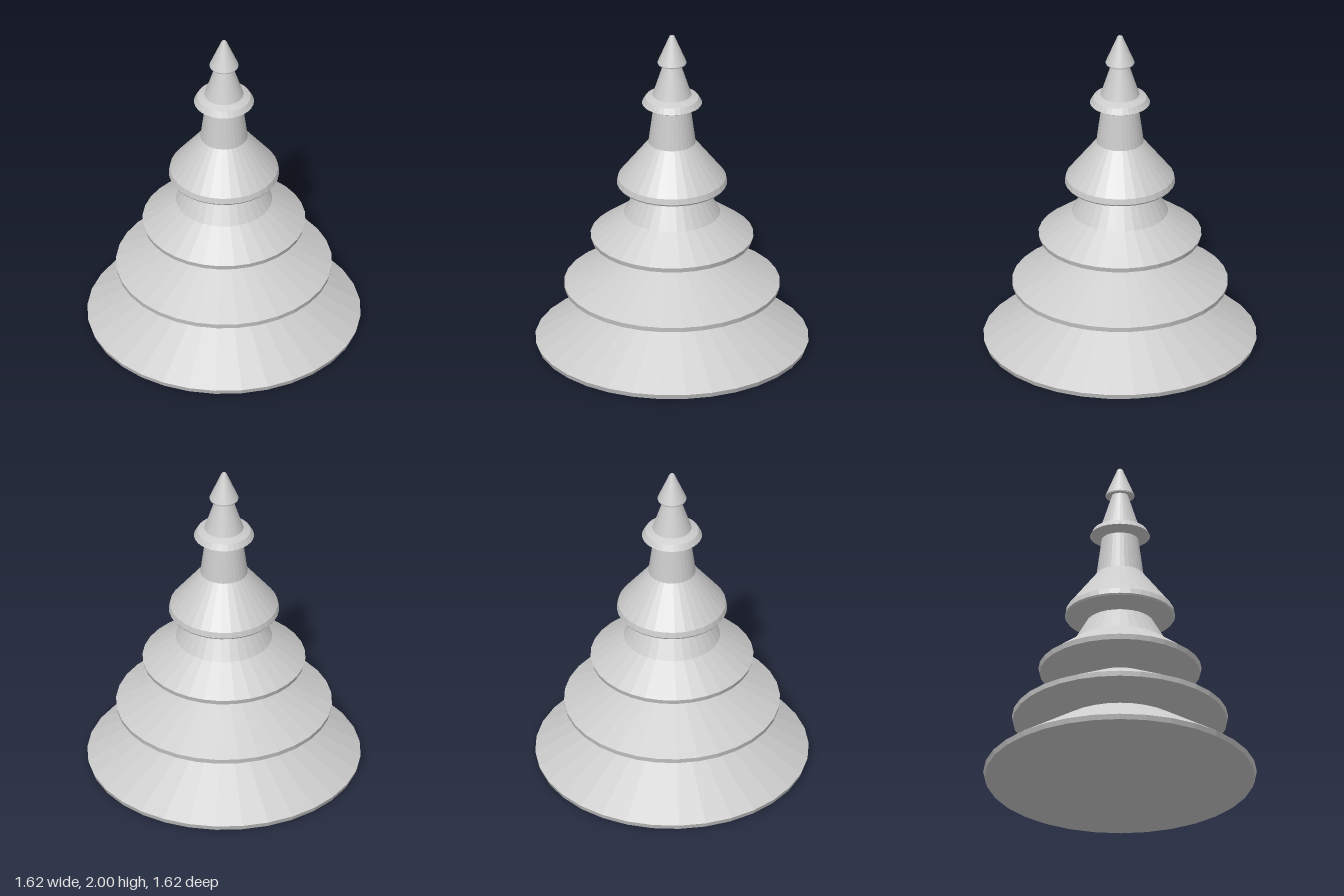
import * as THREE from 'three';

const SIDES = 32;

// Profiles as [radius, height], bottom to top; each part starts where the one below ends
const PARTS = {
  baseTier: [[0, 0], [0.8, 0], [0.81, 0.03], [0.385, 0.3]],
  secondTier: [[0.385, 0.3], [0.635, 0.36], [0.64, 0.39], [0.2, 0.617]],
  thirdTier: [[0.2, 0.617], [0.475, 0.675], [0.483, 0.705], [0.285, 0.85], [0.2, 0.997]],
  topTier: [[0.2, 0.997], [0.32, 1.035], [0.327, 1.045], [0.32, 1.08], [0.14, 1.31]],
  neck: [[0.14, 1.31], [0.11, 1.54]],
  collarRing: [[0.11, 1.54], [0.17, 1.56], [0.178, 1.565], [0.158, 1.6], [0.115, 1.618]],
  upperSpire: [[0.115, 1.618], [0.048, 1.828]],
  tipCap: [[0.048, 1.828], [0.084, 1.822], [0.086, 1.83], [0.015, 2], [0, 2]],
};

export function createModel() {
  const group = new THREE.Group();
  group.name = 'tieredSpire';
  const material = new THREE.MeshStandardMaterial({ color: 0xcccccc, flatShading: true });

  // Revolve every part around the vertical axis
  for (const [name, profile] of Object.entries(PARTS)) {
    const points = profile.map(([r, y]) => new THREE.Vector2(r, y));
    const mesh = new THREE.Mesh(new THREE.LatheGeometry(points, SIDES), material);
    mesh.name = name;
    group.add(mesh);
  }
  return group;
}
